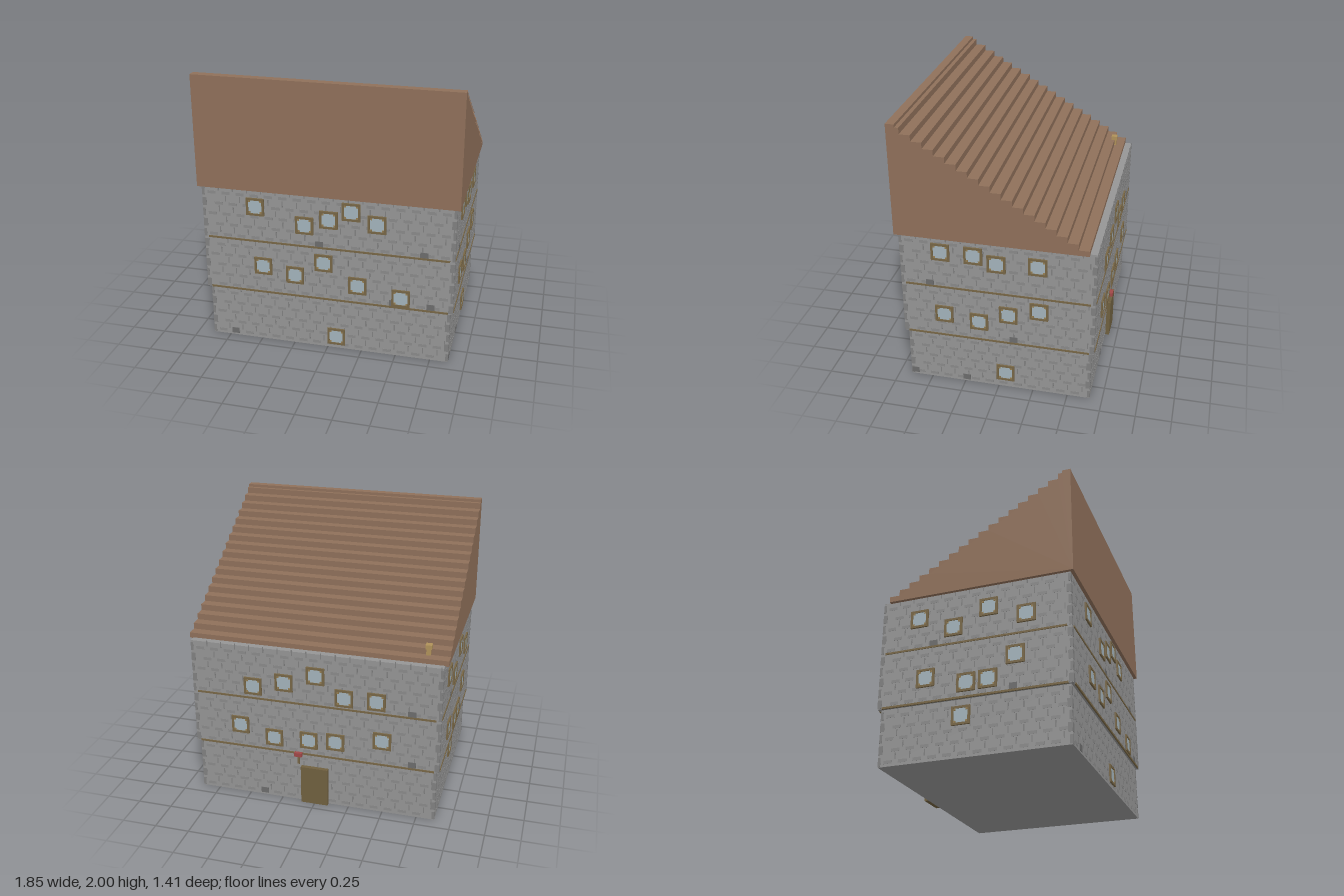
import * as THREE from 'three';
import { mergeGeometries } from 'three/addons/utils/BufferGeometryUtils.js';

const mat = (color) => new THREE.MeshStandardMaterial({ color });
const M = {
  stone: mat(0x959595), brick: mat(0x8a8a8a), joint: mat(0x808080), dark: mat(0x6c6c6c), frame: mat(0x776646),
  peg: mat(0x927c52), glass: mat(0xa3b3bb), roof: mat(0x8f705a),
  door: mat(0x70603f), chimney: mat(0xb0925a), red: mat(0xa04848),
};

// Box geometry already moved to its centre
const boxGeo = (w, h, d, x, y, z) => new THREE.BoxGeometry(w, h, d).translate(x, y, z);

function add(parent, name, geometry, material) {
  const mesh = new THREE.Mesh(geometry, material);
  mesh.name = name;
  parent.add(mesh);
  return mesh;
}

// Square frame with an opening
function frameGeo(size, border, depth) {
  const square = (T, r) => new T([[-r, -r], [r, -r], [r, r], [-r, r]].map(([x, y]) => new THREE.Vector2(x, y)));
  const shape = square(THREE.Shape, size / 2);
  shape.holes.push(square(THREE.Path, size / 2 - border));
  return new THREE.ExtrudeGeometry(shape, { depth, bevelEnabled: false });
}

// Each wall lies in its own plane: u runs along the wall, v is height, +z points outward.
// low / high: half width and distance from the centre for the ground and upper storeys.
const WALLS = [
  {
    name: 'front', turn: 0, low: [0.88, 0.66], high: [0.9, 0.68],
    windows: [[-0.51, 1.07], [-0.155, 0.965], [0.02, 1.025], [0.18, 1.1], [0.36, 1.025],
      [-0.465, 0.615], [-0.23, 0.57], [-0.02, 0.69], [0.225, 0.54], [0.535, 0.48], [0.065, 0.095]],
    patches: [[-0.71, 0.035], [-0.05, 0.83], [0.69, 0.83], [0.745, 0.435], [0.48, 0.435]],
  },
  {
    name: 'leftSide', turn: Math.PI / 2, low: [0.66, 0.88], high: [0.68, 0.9],
    windows: [[-0.39, 1.085], [-0.16, 1.085], [0, 1.04], [0.285, 1.055],
      [-0.38, 0.585], [-0.13, 0.555], [0.08, 0.64], [0.295, 0.7], [0.05, 0.125]],
    patches: [[-0.475, 0.83], [0.115, 0.435], [-0.24, 0.035], [-0.63, 0.035]],
  },
  {
    name: 'back', turn: Math.PI, low: [0.88, 0.66], high: [0.9, 0.68],
    windows: [[-0.445, 0.9], [-0.215, 0.955], [0.015, 1.035], [0.22, 0.89], [0.45, 0.895],
      [-0.55, 0.58], [-0.295, 0.51], [-0.037, 0.522], [0.158, 0.536], [0.495, 0.595]],
    patches: [[-0.39, 0.035], [0.71, 0.435], [0.7, 0.83]],
  },
  {
    name: 'rightSide', turn: -Math.PI / 2, low: [0.66, 0.88], high: [0.68, 0.9],
    windows: [[-0.4, 1.03], [-0.146, 0.925], [0.107, 1.035], [0.373, 0.942],
      [-0.336, 0.578], [-0.045, 0.507], [0.107, 0.51], [0.297, 0.655], [-0.083, 0.287]],
    patches: [[0.28, 0.435], [-0.29, 0.83]],
  },
];

function makeWindow() {
  const g = new THREE.Group();
  g.name = 'window';
  add(g, 'windowFrame', frameGeo(0.13, 0.016, 0.012), M.frame);
  add(g, 'windowGlass', boxGeo(0.1, 0.1, 0.006, 0, 0, 0.004), M.glass);
  const pegs = [];
  for (const x of [-1, 1]) for (const y of [-1, 1]) pegs.push(boxGeo(0.018, 0.018, 0.01, x * 0.044, y * 0.044, 0.0055));
  add(g, 'windowCorners', mergeGeometries(pegs), M.peg);
  return g;
}

function makeWall({ name, turn, low, high, windows, patches }) {
  const g = new THREE.Group();
  g.name = name + 'Wall';
  g.rotation.y = turn;
  const depthAt = (v) => (v < 0.4 ? low[1] : high[1]);

  // Staggered brick courses and corner stones
  const bricks = [], joints = [];
  for (let row = 0; row < 15; row++) {
    const v = row * 0.08 + 0.03;
    const [half, d] = v < 0.4 ? low : high;
    for (let u = -half + 0.07 + (row % 2) * 0.05; u < half - 0.05; u += 0.104) {
      bricks.push(boxGeo(0.06, 0.022, 0.003, u, v, d));
      joints.push(boxGeo(0.008, 0.045, 0.002, u + 0.052, v + 0.038, d));
    }
    const w = row % 2 ? 0.03 : 0.018;
    for (const s of [-1, 1]) joints.push(boxGeo(w, 0.06, 0.004, s * (half - w / 2), v + 0.005, d));
  }
  add(g, 'brickCourses', mergeGeometries(bricks), M.brick);
  add(g, 'jointsAndCornerStones', mergeGeometries(joints), M.joint);
  add(g, 'darkStones', mergeGeometries(patches.map(([u, v]) => boxGeo(0.056, 0.044, 0.006, u, v, depthAt(v)))), M.dark);

  // Timber bands between the storeys
  const bands = [0.405, 0.805].map((v) => boxGeo(2 * high[0] - 0.065, 0.014, 0.01, 0, v, high[1]));
  add(g, 'timberBands', mergeGeometries(bands), M.frame);

  for (const [u, v] of windows) {
    const w = makeWindow();
    w.position.set(u, v, depthAt(v));
    g.add(w);
  }
  return g;
}

// Solid lean-to roof with a stepped slope, profile drawn in (-z, y)
function roofGeo() {
  const s = new THREE.Shape();
  const pitch = 0.0733, rise = 0.0438;
  s.moveTo(-0.705, 1.195);
  s.lineTo(0.63, 1.195);
  for (let i = 0; i < 18; i++) {
    const y = 1.235 + i * rise;
    s.lineTo(0.63 - i * pitch, y);
    s.lineTo(i < 17 ? 0.63 - (i + 1) * pitch : -0.645, y);
  }
  s.lineTo(-0.645, 2);
  s.lineTo(-0.705, 2);
  return new THREE.ExtrudeGeometry(s, { depth: 1.85, bevelEnabled: false })
    .translate(0, 0, -0.925).rotateY(Math.PI / 2);
}

export function createModel() {
  const house = new THREE.Group();
  house.name = 'stoneHouse';

  add(house, 'groundStorey', boxGeo(1.76, 0.4, 1.32, 0, 0.2, 0), M.stone);
  add(house, 'upperStoreys', boxGeo(1.8, 0.8, 1.36, 0, 0.8, 0), M.stone);
  for (const wall of WALLS) house.add(makeWall(wall));

  add(house, 'steppedRoof', roofGeo(), M.roof);

  // Small chimney near the eave
  add(house, 'chimney', boxGeo(0.032, 0.08, 0.032, -0.775, 1.265, -0.555), M.chimney);
  add(house, 'chimneyCap', boxGeo(0.044, 0.03, 0.044, -0.775, 1.295, -0.555), M.chimney);

  // Back door with a lamp beside it
  add(house, 'door', boxGeo(0.2, 0.295, 0.035, 0, 0.1475, -0.6725), M.door);
  add(house, 'lampStem', boxGeo(0.016, 0.07, 0.012, 0.115, 0.355, -0.683), M.frame);
  add(house, 'lampArm', boxGeo(0.014, 0.014, 0.035, 0.115, 0.38, -0.672), M.frame);
  add(house, 'lamp', boxGeo(0.055, 0.03, 0.027, 0.115, 0.4, -0.692), M.red);

  return house;
}
